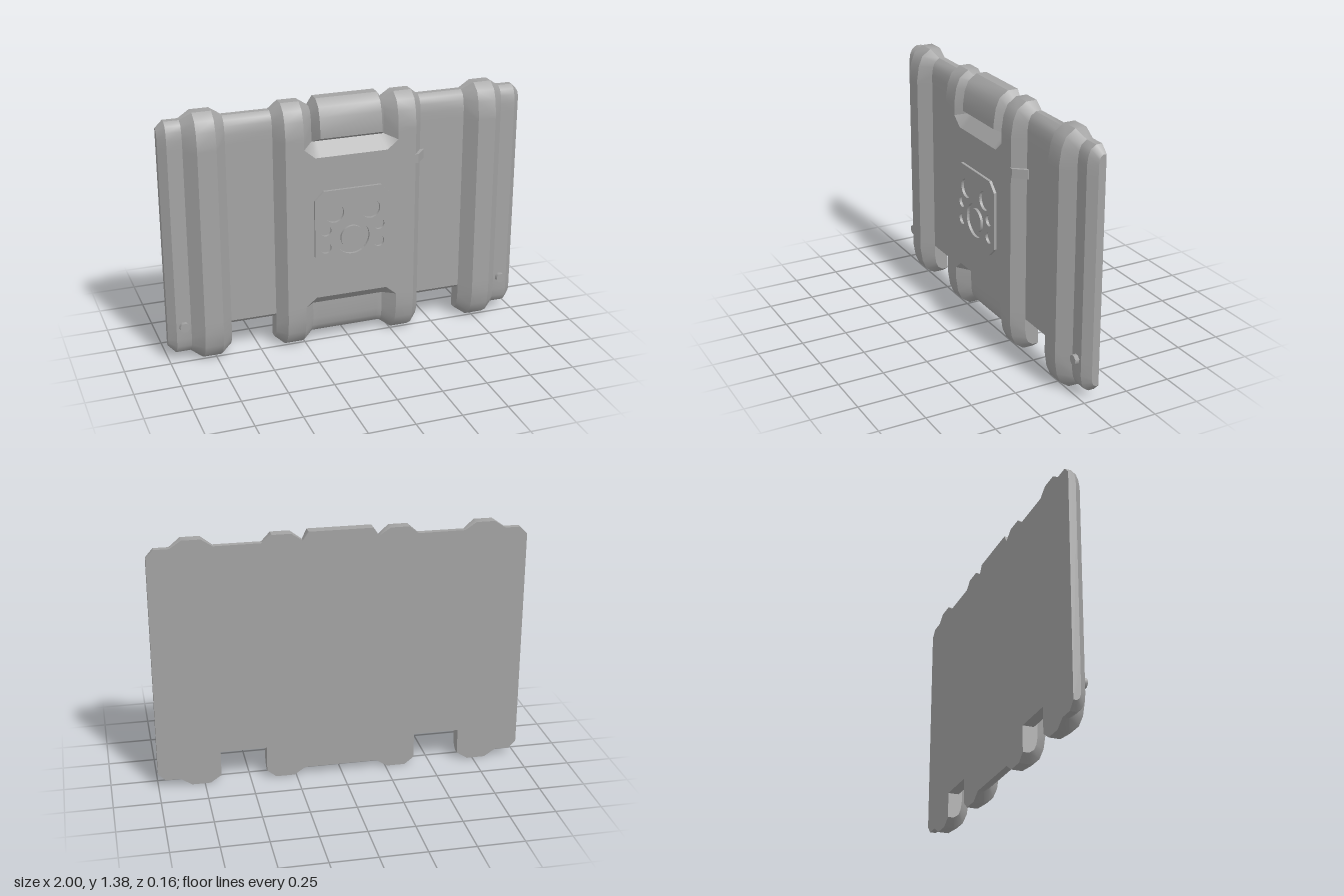
import * as THREE from 'three';
import { toCreasedNormals } from 'three/addons/utils/BufferGeometryUtils.js';

const MID = 0.69, BACK = -0.08, FRONT = 0.065;
// rounded lip, from the back edge to the front face: [setback in z, inset in y]
const LIP = [[0.145, 0], [0.085, 0], [0.035, 0.035], [0.012, 0.09], [0, 0.17]];
const ROWS = [0.23, 0.29, 1.09, 1.15, 1.19];

// side profile [z, y] with a front face at z = front, going from bottom back to top back
function profile(front, half, rows = ROWS) {
  const k = (front - BACK) / 0.145;
  const low = LIP.map(([dz, dy]) => [front - dz * k, MID - half + dy * k]);
  const high = LIP.map(([dz, dy]) => [front - dz * k, MID + half - dy * k]).reverse();
  return [...low, ...rows.map(y => [front, y]), ...high];
}

// the lofted shell with ridges, panels, recesses and the two centre notches
function shellGeometry() {
  const ridge = profile(FRONT, 0.69), panel = profile(0, 0.65), end = profile(-0.04, 0.61);
  const notchEdge = profile(FRONT, 0.69, [0.24, 0.25, 1.14, 1.15, 1.17]);
  const cut = panel.map(p => [...p]);
  [[BACK, 0.18], [-0.04, 0.18], [-0.02, 0.18], [0, 0.2], [0, 0.205]].forEach((p, i) => { cut[i] = p; });
  const notch = panel.map(p => [...p]);
  notch[6] = [FRONT, 0.29];
  notch[7] = [FRONT, 1.09];
  notch[8] = [0, 1.16];
  const block = notch.map(p => [...p]);
  const raised = profile(0.06, 0.695);
  for (let i = 9; i < block.length; i++) block[i] = raised[i];

  const half = [[0.17, block], [0.2, notch], [0.26, notchEdge], [0.36, ridge], [0.41, panel],
    [0.41, cut], [0.66, cut], [0.66, panel], [0.72, ridge], [0.82, ridge],
    [0.88, panel], [0.96, panel], [1, end]];
  const stations = [...half.map(([x, p]) => [-x, p]).reverse(), ...half];

  const out = [];
  const at = (s, j) => new THREE.Vector3(stations[s][0], stations[s][1][j][1], stations[s][1][j][0]);
  const tri = (a, b, c) => {
    if (new THREE.Triangle(a, b, c).getArea() < 1e-7) return;
    for (const v of [a, b, c]) out.push(v.x, v.y, v.z);
  };
  const n = ridge.length, last = stations.length - 1;
  for (let s = 0; s < last; s++) {
    for (let j = 0; j < n; j++) {
      const k = (j + 1) % n;
      // mirror the diagonal so both halves match
      if (s < last / 2) {
        tri(at(s, j), at(s + 1, j), at(s + 1, k));
        tri(at(s, j), at(s + 1, k), at(s, k));
      } else {
        tri(at(s, j), at(s + 1, j), at(s, k));
        tri(at(s + 1, j), at(s + 1, k), at(s, k));
      }
    }
  }
  // end caps
  for (let j = 1; j < n - 1; j++) {
    tri(at(0, 0), at(0, j), at(0, j + 1));
    tri(at(last, 0), at(last, j + 1), at(last, j));
  }
  const g = new THREE.BufferGeometry();
  g.setAttribute('position', new THREE.Float32BufferAttribute(out, 3));
  return toCreasedNormals(g, 0.6);
}

// chamfered plate with round holes
function plateGeometry() {
  const w = 0.21, c = 0.16;
  const shape = new THREE.Shape([[-c, -w], [c, -w], [w, -c], [w, c], [c, w], [-c, w], [-w, c], [-w, -c]]
    .map(([x, y]) => new THREE.Vector2(x, y)));
  const holes = [[0, -0.07, 0.095]];
  for (const s of [-1, 1]) holes.push([s * 0.102, 0.08, 0.053], [s * 0.15, -0.015, 0.03], [s * 0.15, -0.115, 0.03]);
  for (const [x, y, r] of holes) shape.holes.push(new THREE.Path().absarc(x, y, r, 0, Math.PI * 2, true));
  return new THREE.ExtrudeGeometry(shape, { depth: 0.017, bevelEnabled: false, curveSegments: 16 });
}

export function createModel() {
  const model = new THREE.Group();
  const grey = new THREE.MeshStandardMaterial({ color: 0xa3a3a3 });
  grey.name = 'grey';
  const add = (name, geometry, x = 0, y = 0, z = 0) => {
    const mesh = new THREE.Mesh(geometry, grey);
    mesh.name = name;
    mesh.position.set(x, y, z);
    model.add(mesh);
    return mesh;
  };

  add('shell', shellGeometry());
  add('centrePlate', plateGeometry(), 0, 0.695, 0.063);

  // dial inside the large hole
  const dial = new THREE.CylinderGeometry(0.065, 0.065, 0.017, 32).rotateX(Math.PI / 2);
  add('dial', dial, 0, 0.625, 0.0715);

  // studs low on the outer panels
  for (const s of [-1, 1]) {
    const stud = new THREE.CylinderGeometry(0.027, 0.027, 0.03, 8).rotateX(Math.PI / 2).rotateZ(Math.PI / 8);
    add(s > 0 ? 'leftStud' : 'rightStud', stud, s * 0.918, 0.21, 0.008);
  }

  // clip folded over the slope of the left centre ridge
  const clipShape = new THREE.Shape([[0.355, 0.05], [0.41, -0.01], [0.43, -0.01], [0.43, 0.005], [0.375, 0.068], [0.355, 0.068]]
    .map(([x, z]) => new THREE.Vector2(x, -z)));
  const clip = new THREE.ExtrudeGeometry(clipShape, { depth: 0.05, bevelEnabled: false });
  add('clip', clip.rotateX(-Math.PI / 2), 0, 0.995, 0);

  return model;
}
